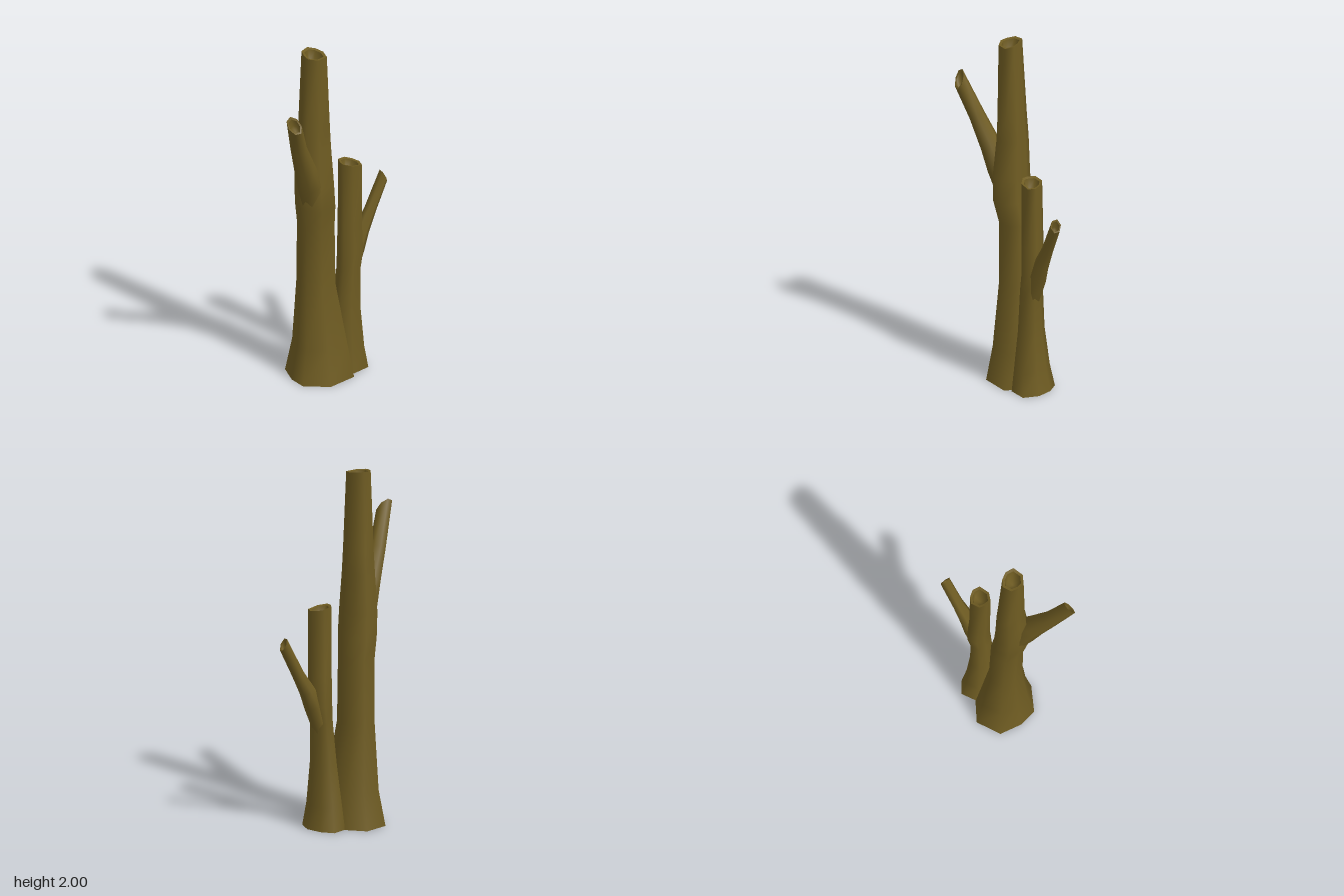
import * as THREE from 'three';
import { mergeGeometries } from 'three/addons/utils/BufferGeometryUtils.js';

const V = (x, y, z) => new THREE.Vector3(x, y, z);

// Closed skin through rings of equal point count, smooth within the strip
function strip(rings) {
  const n = rings[0].length, pos = [], idx = [];
  rings.forEach(r => r.forEach(p => pos.push(p.x, p.y, p.z)));
  for (let i = 0; i < rings.length - 1; i++) {
    for (let j = 0; j < n; j++) {
      const a = i * n + j, b = i * n + (j + 1) % n;
      idx.push(a, a + n, b, b, a + n, b + n);
    }
  }
  const g = new THREE.BufferGeometry();
  g.setAttribute('position', new THREE.Float32BufferAttribute(pos, 3));
  g.setIndex(idx);
  g.computeVertexNormals();
  return g;
}

// Limb: side skin, flat foot, and a broken end with a rim and a hollow
function limb(rings, axis, cut, depth) {
  const end = rings[rings.length - 1];
  const mid = ring => ring.reduce((s, p) => s.add(p), V(0, 0, 0)).divideScalar(ring.length);
  const c = mid(end);
  // slide the end ring along the axis onto the slanted cut
  end.forEach(p => p.addScaledVector(axis, -p.clone().sub(c).dot(cut) / axis.dot(cut)));
  const shrink = (s, d) => end.map(p => c.clone().lerp(p, s).addScaledVector(axis, -d));
  const rim = shrink(0.76, 0.004), floor = shrink(0.6, depth);
  const foot = mid(rings[0]);
  return mergeGeometries([
    strip(rings),
    strip([end, rim]),
    strip([rim, floor, floor.map(() => mid(floor))]),
    strip([rings[0].map(() => foot), rings[0]]),
  ]);
}

// Trunk from levels [y, xMin, xMax, zMin, zMax] and a unit outline
function trunk(levels, outline, cut, depth) {
  const rings = levels.map(([y, x0, x1, z0, z1]) => outline.map(([u, w]) =>
    V((x0 + x1) / 2 + u * (x1 - x0) / 2, y, (z0 + z1) / 2 + w * (z1 - z0) / 2)));
  return limb(rings, V(0, 1, 0), cut, depth);
}

// Branch from stations [x, y, z, radius]
function branch(stations, sides, cut, depth) {
  const c = stations.map(s => V(s[0], s[1], s[2]));
  let d;
  const rings = stations.map((s, i) => {
    d = c[Math.min(i + 1, c.length - 1)].clone().sub(c[Math.max(i - 1, 0)]).normalize();
    const u = d.clone().cross(V(0, 0, 1)).normalize(), v = u.clone().cross(d);
    return Array.from({ length: sides }, (_, j) => {
      const a = (j + 0.5) / sides * Math.PI * 2;
      return c[i].clone().addScaledVector(u, Math.cos(a) * s[3]).addScaledVector(v, Math.sin(a) * s[3]);
    });
  });
  return limb(rings, d, cut.normalize(), depth);
}

export function createModel() {
  const bark = new THREE.MeshStandardMaterial({ color: 0x6f5c22 });
  bark.name = 'bark brown';
  const group = new THREE.Group();
  group.name = 'deadTree';
  const add = (name, geometry) => {
    const m = new THREE.Mesh(geometry, bark);
    m.name = name;
    group.add(m);
  };

  // Uneven octagon shared by both trunks
  const outline = [[1, 0.17], [0.78, 0.9], [-0.29, 1], [-1, 0.45],
    [-1, -0.11], [-0.72, -0.78], [0.14, -1], [0.69, -0.53]];

  add('tallTrunk', trunk([
    [0, -0.215, 0.11, -0.208, 0.15],
    [0.2, -0.182, 0.08, -0.167, 0.115],
    [0.57, -0.16, 0.02, -0.135, 0.072],
    [0.93, -0.165, 0.015, -0.122, 0.07],
    [1.06, -0.183, 0, -0.12, 0.098],
    [1.2, -0.19, -0.007, -0.115, 0.095],
    [1.42, -0.175, -0.016, -0.105, 0.075],
    [1.55, -0.17, -0.022, -0.095, 0.07],
    [1.988, -0.16, -0.042, -0.07, 0.063],
  ], outline, V(0, 1, 0.16), 0.07));

  add('shortTrunk', trunk([
    [0, 0.03, 0.228, -0.145, 0.1],
    [0.13, 0.04, 0.206, -0.118, 0.085],
    [0.36, 0.062, 0.19, -0.085, 0.065],
    [0.6, 0.083, 0.19, -0.07, 0.06],
    [0.7, 0.09, 0.212, -0.08, 0.058],
    [0.87, 0.088, 0.205, -0.068, 0.055],
    [1.247, 0.085, 0.205, -0.06, 0.055],
  ], outline, V(0.18, 1, 0.08), 0.06));

  add('rightBranch', branch([
    [-0.1, 1.03, -0.005, 0.06],
    [-0.155, 1.22, 0.03, 0.075],
    [-0.21, 1.34, 0.06, 0.06],
    [-0.285, 1.5, 0.105, 0.046],
    [-0.366, 1.7, 0.172, 0.04],
  ], 7, V(-0.05, 0.5, 1), 0.05));

  add('leftBranch', branch([
    [0.14, 0.55, -0.005, 0.045],
    [0.195, 0.7, -0.012, 0.052],
    [0.235, 0.79, -0.013, 0.044],
    [0.295, 0.895, -0.015, 0.034],
    [0.389, 1.078, -0.017, 0.031],
  ], 6, V(1, 0.45, 0.1), 0.04));

  return group;
}
